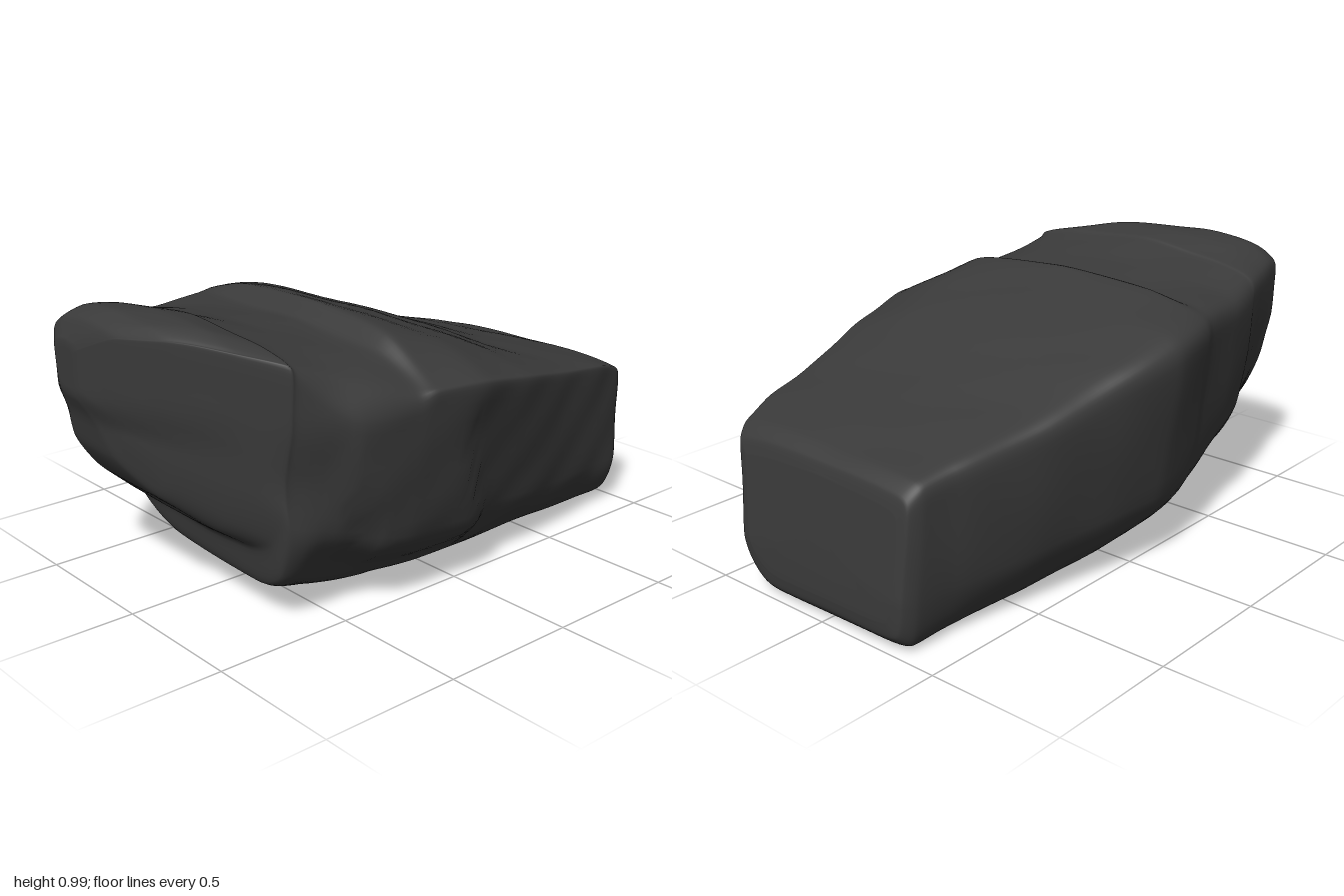
import * as THREE from 'three';

// Cross-sections along x:
// x, crest y, front shoulder y, front z, back shoulder y, back z, bottom y, bottom front z, bottom back z
const STATIONS = [
  [-1.0, 0.88, 0.86, -0.27, 0.86, -0.40, 0.70, -0.29, -0.38],
  [-0.965, 0.96, 0.94, -0.08, 0.91, -0.455, 0.50, -0.13, -0.42],
  [-0.9, 1.0, 0.96, 0.13, 0.93, -0.475, 0.39, 0.06, -0.40],
  [-0.8, 1.0, 0.95, 0.34, 0.92, -0.50, 0.31, 0.24, -0.38],
  [-0.71, 0.975, 0.93, 0.485, 0.91, -0.525, 0.25, 0.38, -0.38],
  [-0.68, 0.96, 0.915, 0.50, 0.90, -0.535, 0.12, 0.40, -0.38],
  [-0.52, 0.92, 0.86, 0.595, 0.88, -0.575, 0.07, 0.42, -0.37],
  [-0.31, 0.90, 0.80, 0.635, 0.88, -0.61, 0.03, 0.40, -0.37],
  [-0.23, 0.96, 0.80, 0.65, 0.88, -0.635, 0.02, 0.39, -0.37],
  [-0.03, 0.895, 0.785, 0.66, 0.86, -0.67, 0.01, 0.39, -0.38],
  [0.2, 0.81, 0.74, 0.62, 0.785, -0.615, 0.01, 0.39, -0.38],
  [0.5, 0.695, 0.67, 0.54, 0.675, -0.52, 0.01, 0.38, -0.37],
  [0.8, 0.625, 0.615, 0.47, 0.61, -0.43, 0.01, 0.37, -0.36],
  [0.94, 0.595, 0.58, 0.44, 0.58, -0.41, 0.01, 0.37, -0.36],
  [0.99, 0.56, 0.54, 0.41, 0.54, -0.385, 0.05, 0.34, -0.34],
  [1.0, 0.51, 0.49, 0.37, 0.49, -0.345, 0.10, 0.31, -0.30],
];
const SIDES = 96, STEPS = 7;
const mix = THREE.MathUtils.lerp, smooth = THREE.MathUtils.smoothstep;

// Tight spline through a list of points
const spline = (points, closed) => new THREE.CatmullRomCurve3(points, closed, 'catmullrom', 0.32);

// Corner points of one section: over the crest, down the front, under, up the back
function section([x, top, frontY, front, backY, back, bottom, lowFront, lowBack]) {
  const mid = (front + back) / 2, height = top - bottom;
  const ledge = Math.max(0, 1 - Math.abs(x + 0.48) / 0.25); // low bulge on the front
  const lift = 0.055 + 0.04 * smooth(x, -0.7, -0.5) * (1 - smooth(x, -0.2, 0.1));
  const frontLow = bottom + lift * Math.min(1, height / 0.5);
  const backLow = Math.max(bottom, 0.13 - 0.45 * (x + 0.5)) + 0.02; // underside rises to the left
  return [
    [mid, top],
    [mix(mid, front, 0.62), mix(frontY, top, 0.72)],
    [mix(mid, front, 0.95 - 0.07 * ledge), frontY],
    [front, frontY - (0.06 + 0.13 * ledge) * height],
    [mix(lowFront, front, 0.64), mix(bottom, frontY, 0.3)],
    [lowFront, frontLow],
    [mix(mid, lowFront, 0.7), bottom + 0.005],
    [mix(mid, lowBack, 0.5), mix(bottom, backLow, 0.3)],
    [lowBack, backLow],
    [mix(lowBack, back, 0.72), mix(backLow, backY, 0.27)],
    [back, backY - 0.1 * height],
    [mix(mid, back, 0.92), backY],
    [mix(mid, back, 0.6), mix(backY, top, 0.68)],
  ].map(([z, y]) => new THREE.Vector3(x, y, z));
}

// Weathering: soft undulation, with slanting chipped steps on the front
function weather(p) {
  const { x, y, z } = p;
  let d = 0.006 * Math.sin(7 * x + 4 * y + 2) * Math.sin(6 * z - 5 * y)
    + 0.004 * Math.sin(17 * x - 9 * y) * Math.sin(13 * z + 11 * y + 1);
  const face = smooth(z, 0.25, 0.5) * smooth(y, 0.05, 0.2) * (1 - smooth(y, 0.55, 0.74));
  const slant = x + 0.35 * (y - 0.4) + 0.02 * Math.sin(15 * y);
  d -= face * 0.035 * smooth(slant, -0.72, -0.6) * (1 - smooth(slant, -0.5, -0.44));
  d -= face * 0.02 * smooth(slant, -0.02, 0.03) * (1 - smooth(slant, 0.05, 0.35));
  d *= smooth(y, 0.0, 0.06);
  const len = Math.hypot(y - 0.45, z) || 1;
  p.y += d * (y - 0.45) / len;
  p.z += d * z / len;
  // overhang around the left end
  p.x += 0.025 * (1 - smooth(y, 0.6, 0.72)) * (1 - smooth(x, -0.9, -0.7));
  // the right end leans inward toward its top
  p.x -= 0.1 * smooth(x, 0.7, 1) * Math.max(0, y - 0.2);
  return p;
}

function rockGeometry() {
  const sections = STATIONS.map(section);
  const rails = sections[0].map((_, k) => spline(sections.map((s) => s[k]), false));
  const count = (STATIONS.length - 1) * STEPS;
  const rings = [];
  for (let i = 0; i <= count; i++) {
    const loop = spline(rails.map((r) => r.getPoint(i / count)), true);
    rings.push(Array.from({ length: SIDES }, (_, j) => loop.getPoint(j / SIDES)));
  }
  // close both ends with shrinking rings
  const shrink = (ring, f) => {
    const c = ring.reduce((a, p) => a.add(p), new THREE.Vector3()).divideScalar(SIDES);
    return ring.map((p) => p.clone().lerp(c, 1 - f));
  };
  const first = rings[0], last = rings[count];
  for (const f of [0.75, 0.4, 0.001]) {
    rings.unshift(shrink(first, f));
    rings.push(shrink(last, f));
  }
  const positions = [], index = [];
  rings.forEach((ring, i) => ring.forEach((p, j) => {
    positions.push(...weather(p.clone()).toArray());
    if (i === rings.length - 1) return;
    const a = i * SIDES + j, b = i * SIDES + (j + 1) % SIDES;
    index.push(a, b, a + SIDES, b, b + SIDES, a + SIDES);
  }));
  const g = new THREE.BufferGeometry();
  g.setAttribute('position', new THREE.Float32BufferAttribute(positions, 3));
  g.setIndex(index);
  g.computeBoundingBox();
  // stand it on the ground, centred
  const { min, max } = g.boundingBox;
  g.translate(-(min.x + max.x) / 2, -min.y, -(min.z + max.z) / 2);
  g.computeVertexNormals();
  return g;
}

export function createModel() {
  const group = new THREE.Group();
  group.name = 'rock';
  const stone = new THREE.MeshStandardMaterial({ color: 0x3a3a3a });
  stone.name = 'dark stone';
  const boulder = new THREE.Mesh(rockGeometry(), stone);
  boulder.name = 'boulder';
  group.add(boulder);
  return group;
}
